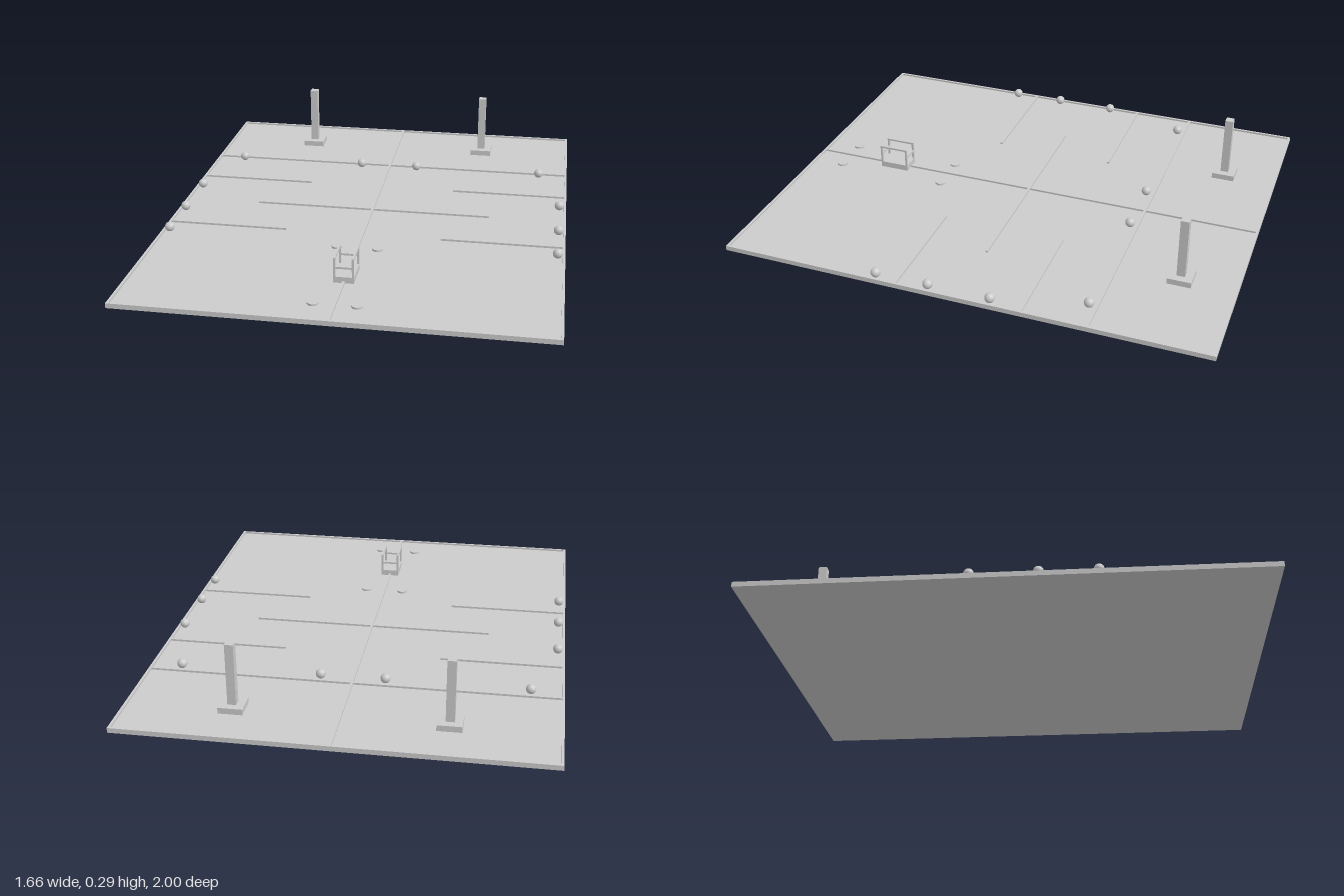
import * as THREE from 'three';

const FLOOR = 0.012, RIM = 0.02, WALL = 0.01;

export function createModel() {
  const model = new THREE.Group();
  model.name = 'playingField';
  const grey = new THREE.MeshStandardMaterial({ color: 0xcccccc });

  const add = (name, geometry, x, y, z, parent = model) => {
    const mesh = new THREE.Mesh(geometry, grey);
    mesh.name = name;
    mesh.position.set(x, y, z);
    parent.add(mesh);
    return mesh;
  };
  // Box given by its centre in x and z and its bottom and top heights
  const block = (name, w, d, x, z, y0, y1, parent) =>
    add(name, new THREE.BoxGeometry(w, y1 - y0, d), x, (y0 + y1) / 2, z, parent);

  // Floor slab with a raised rim
  block('floor', 1.66, 2, 0, 0, 0, FLOOR);
  for (const s of [-1, 1]) {
    block('sideRim', WALL, 2, s * 0.825, 0, FLOOR, RIM);
    block('endRim', 1.64, WALL, 0, s * 0.995, FLOOR, RIM);
  }

  // Low dividers across the field
  block('centreDivider', WALL, 1.98, 0, 0, FLOOR, RIM);
  block('middleDivider', 1.01, WALL, 0, 0, FLOOR, RIM);
  block('rearDivider', 1.64, WALL, 0, -0.52, FLOOR, RIM);
  for (const s of [-1, 1])
    for (const z of [-0.26, 0.255])
      block('sideDivider', 0.495, WALL, s * 0.5725, z, FLOOR, RIM);

  // Posts on square plinths
  for (const s of [-1, 1]) {
    const post = new THREE.Group();
    post.name = 'post';
    model.add(post);
    block('plinth', 0.096, 0.096, s * 0.413, -0.775, FLOOR, 0.036, post);
    block('column', 0.034, 0.034, s * 0.413, -0.775, 0.036, 0.288, post);
  }

  // Balls and flat discs, mirrored left and right
  const ball = new THREE.SphereGeometry(0.02, 24, 16);
  const disc = new THREE.CylinderGeometry(0.022, 0.022, 0.008, 32);
  for (const s of [-1, 1]) {
    for (const [x, z] of [[0.7, -0.49], [0.13, -0.49], [0.8, -0.13], [0.8, 0.125], [0.8, 0.345]])
      add('ball', ball, s * x, 0.032, z);
    for (const z of [0.385, 0.865]) add('disc', disc, s * 0.083, FLOOR + 0.004, z);
  }

  // Framed carrier: base block, two side hoops and two cross bars
  const carrier = new THREE.Group();
  carrier.name = 'carrier';
  model.add(carrier);
  const bar = 0.008, midZ = 0.628;
  block('carrierBase', 0.08, 0.126, 0, midZ, FLOOR, 0.037, carrier);
  for (const s of [-1, 1]) {
    for (const e of [-1, 1])
      block('upright', bar, bar, s * 0.036, midZ + e * 0.059, 0.037, 0.115, carrier);
    block('topRail', bar, 0.126, s * 0.036, midZ, 0.107, 0.115, carrier);
    block('crossBar', 0.064, bar, 0, midZ + s * 0.059, 0.071, 0.079, carrier);
  }
  return model;
}
